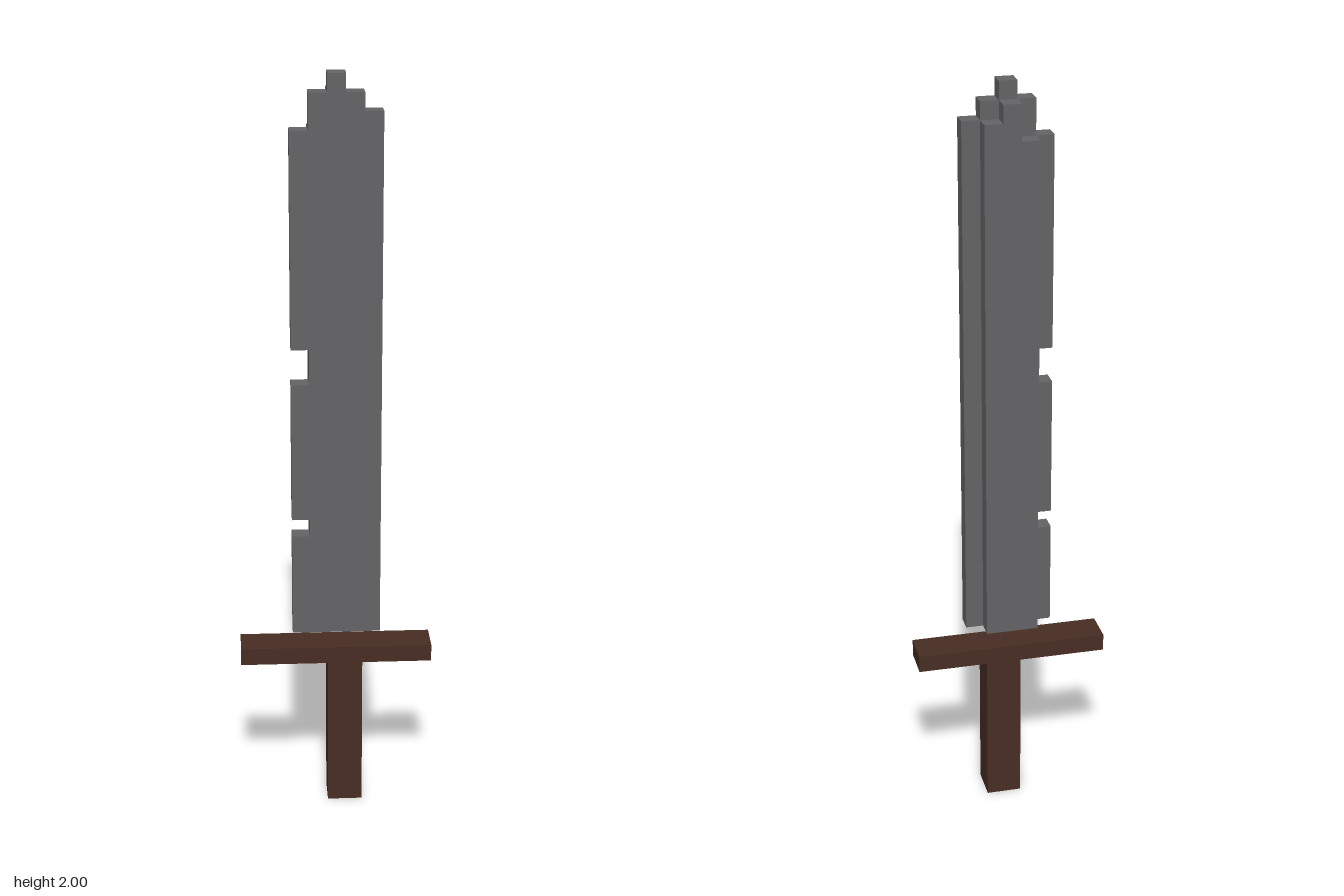
import * as THREE from 'three';

const U = 2 / 43; // edge of one cube of the blocky grid

export function createModel() {
  const model = new THREE.Group();
  model.name = 'blockySword';
  const steel = new THREE.MeshStandardMaterial({ color: 0x646466 });
  steel.name = 'darkSteel';
  const wood = new THREE.MeshStandardMaterial({ color: 0x472d22 });
  wood.name = 'darkWood';

  // Box given by its limits in grid units
  function block(name, material, x0, x1, y0, y1, z0, z1) {
    const mesh = new THREE.Mesh(
      new THREE.BoxGeometry((x1 - x0) * U, (y1 - y0) * U, (z1 - z0) * U), material);
    mesh.position.set((x0 + x1) / 2 * U, (y0 + y1) / 2 * U, (z0 + z1) / 2 * U);
    mesh.name = name;
    model.add(mesh);
  }

  // Stepped outline in grid units, one unit thick
  function slab(name, outline, z0) {
    const shape = new THREE.Shape(outline.map(([x, y]) => new THREE.Vector2(x * U, y * U)));
    const mesh = new THREE.Mesh(
      new THREE.ExtrudeGeometry(shape, { depth: U, bevelEnabled: false }), steel);
    mesh.position.z = z0 * U;
    mesh.name = name;
    model.add(mesh);
  }

  // Handle and crossguard
  block('handle', wood, -0.5, 1.5, 0, 9, -1, 1);
  block('crossguard', wood, -5.5, 5.5, 9, 10, -1, 1);

  // Front of the blade, with a stepped tip and two notches in one edge
  slab('bladeFront', [
    [-2.5, 11], [2.5, 11], [2.5, 41], [1.5, 41], [1.5, 42], [0.5, 42], [0.5, 43],
    [-0.5, 43], [-0.5, 42], [-1.5, 42], [-1.5, 40], [-2.5, 40],
    [-2.5, 28], [-1.5, 28], [-1.5, 26], [-2.5, 26],
    [-2.5, 18], [-1.5, 18], [-1.5, 17], [-2.5, 17],
  ], 0);

  // Narrower ridge on the back of the blade
  slab('bladeRidge', [
    [-1.5, 11], [1.5, 11], [1.5, 41], [0.5, 41], [0.5, 42],
    [-0.5, 42], [-0.5, 40], [-1.5, 40],
  ], -1);

  return model;
}
